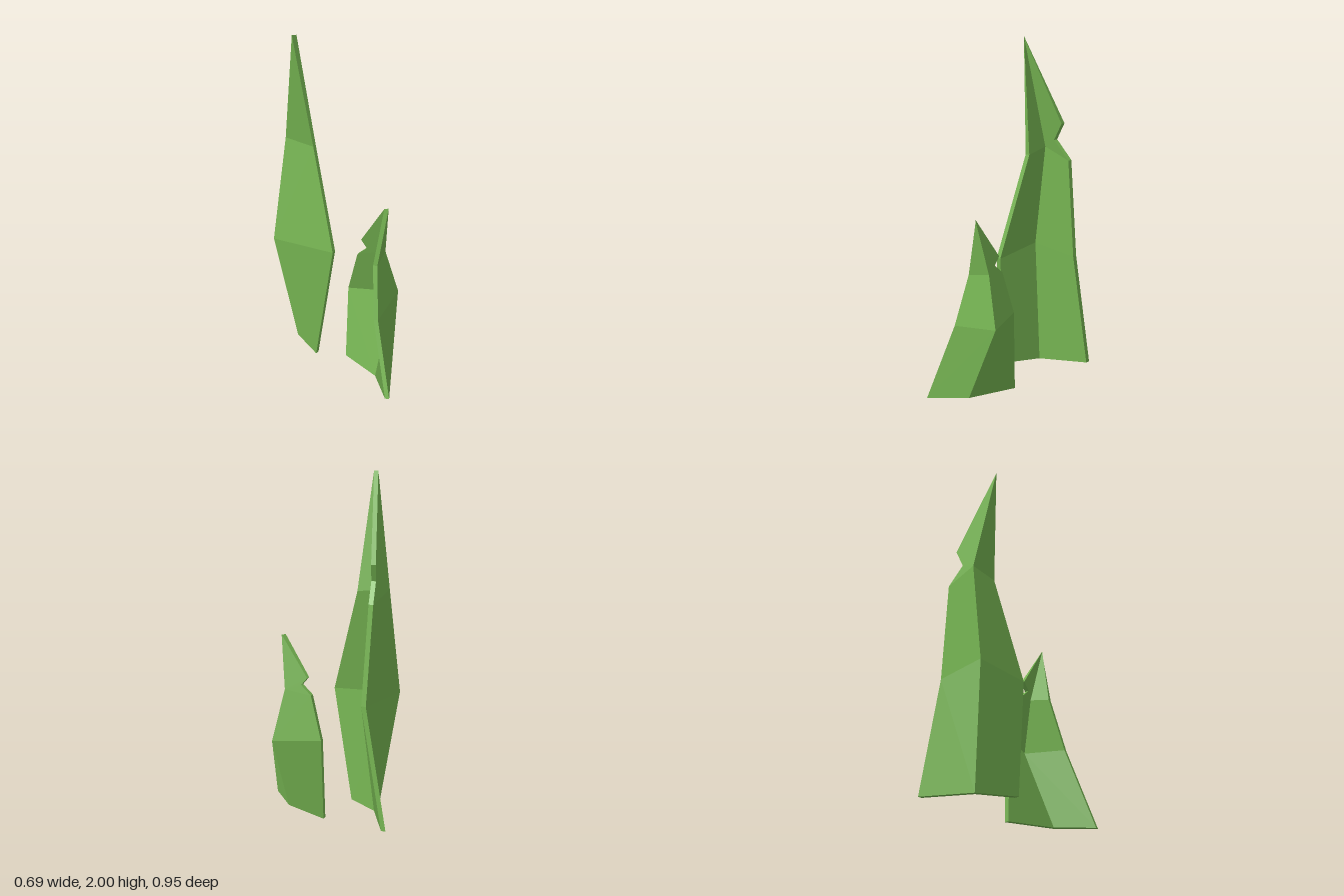
import * as THREE from 'three';

const material = new THREE.MeshStandardMaterial({ color: 0x76b552 });

// Faces of the outer skin. Points: 0-2 front edge, 3-5 ridge, 6-8 back edge (base to top),
// 9 notch, 10 tooth, 11 tip.
const SKIN = [
  [0, 1, 4, 3], [4, 1, 2, 5], [5, 2, 11],
  [3, 4, 7, 6], [4, 5, 8, 7], [5, 11, 10, 9, 8],
];
// Outline of the skin, walked counter-clockwise
const RIM = [6, 3, 0, 1, 2, 11, 10, 9, 8, 7];

// A folded leaf: outer skin, inner skin shifted by the thickness, and the rim between them
function leaf(name, points, shift, mirrored) {
  const outer = points.map((p) => new THREE.Vector3(...p));
  const inner = outer.map((p, i) => {
    const [dx, dz] = i < 3 ? shift.front : i < 6 || i === 11 ? shift.ridge : shift.back;
    return new THREE.Vector3(p.x + dx, p.y, p.z + dz);
  });
  const positions = [];
  const normals = [];

  // One facet: a fan of triangles sharing a single normal
  const facet = (corners, reversed) => {
    const triangles = [];
    const normal = new THREE.Vector3();
    for (let i = 1; i < corners.length - 1; i++) {
      const [a, b, c] = [corners[0], corners[i], corners[i + 1]];
      const triangle = reversed ? [a, c, b] : [a, b, c];
      triangles.push(...triangle);
      const [p, q, r] = triangle;
      normal.add(q.clone().sub(p).cross(r.clone().sub(p)));
    }
    normal.normalize();
    for (const v of triangles) {
      positions.push(...v.toArray());
      normals.push(...normal.toArray());
    }
  };

  for (const f of SKIN) {
    facet(f.map((i) => outer[i]), mirrored);
    facet(f.map((i) => inner[i]), !mirrored);
  }
  RIM.forEach((a, k) => {
    const b = RIM[(k + 1) % RIM.length];
    facet([outer[b], outer[a], inner[a], inner[b]], mirrored);
  });

  const geometry = new THREE.BufferGeometry();
  geometry.setAttribute('position', new THREE.Float32BufferAttribute(positions, 3));
  geometry.setAttribute('normal', new THREE.Float32BufferAttribute(normals, 3));
  const mesh = new THREE.Mesh(geometry, material);
  mesh.name = name;
  return mesh;
}

export function createModel() {
  const group = new THREE.Group();
  group.name = 'leaves';

  group.add(leaf('tallLeaf', [
    [-0.14, 0.075, 0.045], [-0.045, 0.76, 0.075], [-0.12, 1.35, -0.09], // front edge
    [-0.21, 0.075, -0.18], [-0.345, 0.765, -0.155], [-0.255, 1.37, -0.205], // ridge
    [-0.14, 0.075, -0.475], [-0.055, 0.77, -0.38], [-0.105, 1.32, -0.347], // back edge
    [-0.15, 1.43, -0.268], [-0.133, 1.525, -0.307], [-0.23, 2, -0.08], // notch, tooth, tip
  ], { front: [0.018, -0.02], ridge: [0.025, 0], back: [0.02, 0.018] }, false));

  group.add(leaf('shortLeaf', [
    [0.2, 0, 0.475], [0.167, 0.43, 0.312], [0.178, 0.735, 0.23], // front edge
    [0.2, 0, 0.235], [0.342, 0.47, 0.082], [0.252, 0.76, 0.117], // ridge
    [0.07, 0, -0.028], [0.082, 0.475, -0.022], [0.12, 0.73, 0.043], // back edge
    [0.164, 0.785, 0.085], [0.136, 0.83, 0.061], [0.247, 1.065, 0.187], // notch, tooth, tip
  ], { front: [-0.022, -0.012], ridge: [-0.025, 0], back: [-0.018, 0.019] }, true));

  return group;
}
